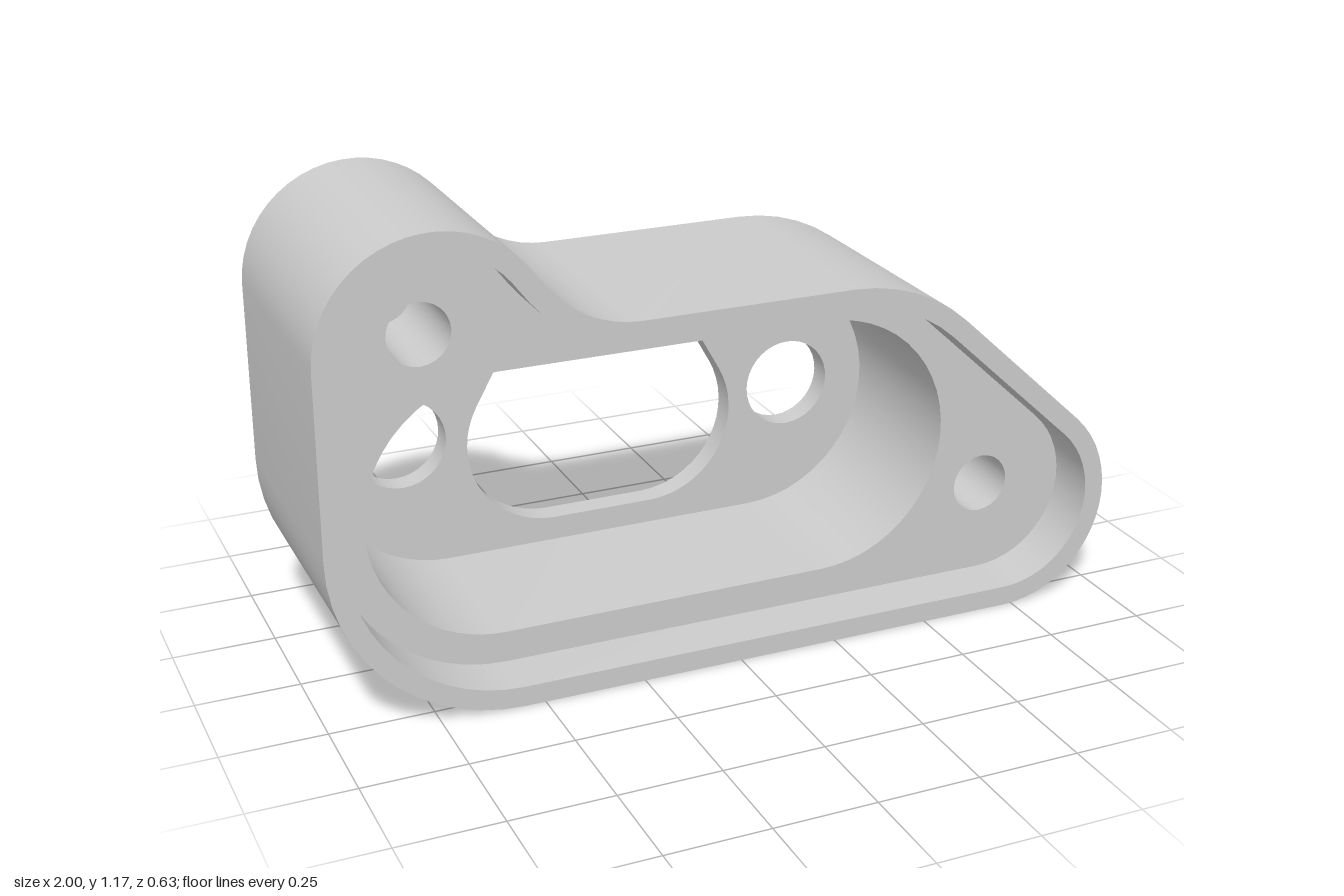
import * as THREE from 'three';
import { toCreasedNormals } from 'three/addons/utils/BufferGeometryUtils.js';

// Depth levels, back to front
const BACK = -0.313, PLATE = -0.25, SCREW_END = -0.12, LEDGE = 0.18, FRONT = 0.313;
const RIM = 0.05;

// Outline arcs [x, y, radius], counter-clockwise; a negative radius is a concave fillet
const BODY = [
  [-0.55, 0.452, 0.45], [0.725, 0.275, 0.275], [0.275, 0.452, 0.45],
  [-0.25, 1.185, -0.283], [-0.727, 0.895, 0.272],
];
const CAVITY = [[-0.547, 0.455, 0.326], [0.275, 0.455, 0.326]];
const WINDOW = [[-0.265, 0.415, 0.225], [-0.005, 0.415, 0.225], [-0.035, 0.52, 0.2], [-0.235, 0.52, 0.2]];
const BOLTS = [[-0.657, 0.455, 0.114], [0.385, 0.455, 0.114]];
const SCREWS = [[-0.725, 0.895, 0.075], [0.722, 0.283, 0.075]];

// Loop of points following the arcs and their common tangent lines, moved inwards by inset
function arcLoop(arcs, inset = 0) {
  const c = arcs.map(([x, y, r]) => [x, y, r - inset]);
  const n = c.length;
  const normals = c.map(([x, y, r], i) => {
    const [x2, y2, r2] = c[(i + 1) % n];
    const dx = x2 - x, dy = y2 - y;
    const k = THREE.MathUtils.clamp((r - r2) / Math.hypot(dx, dy), -1, 1);
    return Math.atan2(dy, dx) - Math.acos(k);
  });
  const pts = [];
  c.forEach(([x, y, r], i) => {
    const start = normals[(i + n - 1) % n];
    let sweep = THREE.MathUtils.euclideanModulo(normals[i] - start, Math.PI * 2);
    if (r < 0) sweep -= Math.PI * 2;
    const steps = Math.max(3, Math.ceil(Math.abs(sweep) / 0.13));
    for (let s = 0; s <= steps; s++) {
      const a = start + (sweep * s) / steps;
      const p = new THREE.Vector2(x + r * Math.cos(a), y + r * Math.sin(a));
      if (!pts.length || p.distanceTo(pts[pts.length - 1]) > 1e-4) pts.push(p);
    }
  });
  if (pts[0].distanceTo(pts[pts.length - 1]) < 1e-4) pts.pop();
  return pts;
}

function circleLoop([x, y, r], sides = 36) {
  return Array.from({ length: sides }, (_, i) => {
    const a = (i / sides) * Math.PI * 2;
    return new THREE.Vector2(x + r * Math.cos(a), y + r * Math.sin(a));
  });
}

// Straight wall along a loop between two depths
function wall(loop, z0, z1, inward = false) {
  const pts = inward ? [...loop].reverse() : loop;
  const pos = [], index = [];
  pts.forEach((p, i) => {
    pos.push(p.x, p.y, z0, p.x, p.y, z1);
    const a = 2 * i, b = 2 * ((i + 1) % pts.length);
    index.push(a, b, b + 1, a, b + 1, a + 1);
  });
  const g = new THREE.BufferGeometry();
  g.setAttribute('position', new THREE.Float32BufferAttribute(pos, 3));
  g.setIndex(index);
  return toCreasedNormals(g, 0.5);
}

// Flat face with holes, looking forwards or backwards
function face(loop, holes, z, backwards = false) {
  const shape = new THREE.Shape(loop);
  shape.holes = holes.map((h) => new THREE.Path(h));
  const g = new THREE.ShapeGeometry(shape);
  if (backwards) {
    g.setIndex([...g.index.array].reverse());
    g.computeVertexNormals();
  }
  return g.translate(0, 0, z);
}

export function createModel() {
  const group = new THREE.Group();
  const material = new THREE.MeshStandardMaterial({ color: 0xcccccc });
  const add = (name, geometry) => {
    const mesh = new THREE.Mesh(geometry, material);
    mesh.name = name;
    group.add(mesh);
  };

  const outer = arcLoop(BODY), recess = arcLoop(BODY, RIM);
  const cavity = arcLoop(CAVITY), windowLoop = arcLoop(WINDOW);
  const bolts = BOLTS.map((b) => circleLoop(b));
  const screws = SCREWS.map((s) => circleLoop(s, 24));
  const plateHoles = [windowLoop, ...bolts];

  // Housing shell
  add('outerWall', wall(outer, BACK, FRONT));
  add('frontRim', face(outer, [recess], FRONT));
  add('backFace', face(outer, plateHoles, BACK, true));

  // Shallow front recess and its ledge
  add('recessWall', wall(recess, LEDGE, FRONT, true));
  add('recessLedge', face(recess, [cavity, ...screws], LEDGE));

  // Deep cavity down to the thin back plate
  add('cavityWall', wall(cavity, PLATE, LEDGE, true));
  add('cavityFloor', face(cavity, plateHoles, PLATE));

  // Openings through the back plate
  add('windowEdge', wall(windowLoop, BACK, PLATE, true));
  bolts.forEach((b) => add('boltHole', wall(b, BACK, PLATE, true)));

  // Blind screw holes in the ledge
  screws.forEach((s) => {
    add('screwHole', wall(s, SCREW_END, LEDGE, true));
    add('screwHoleBottom', face(s, [], SCREW_END));
  });
  return group;
}
